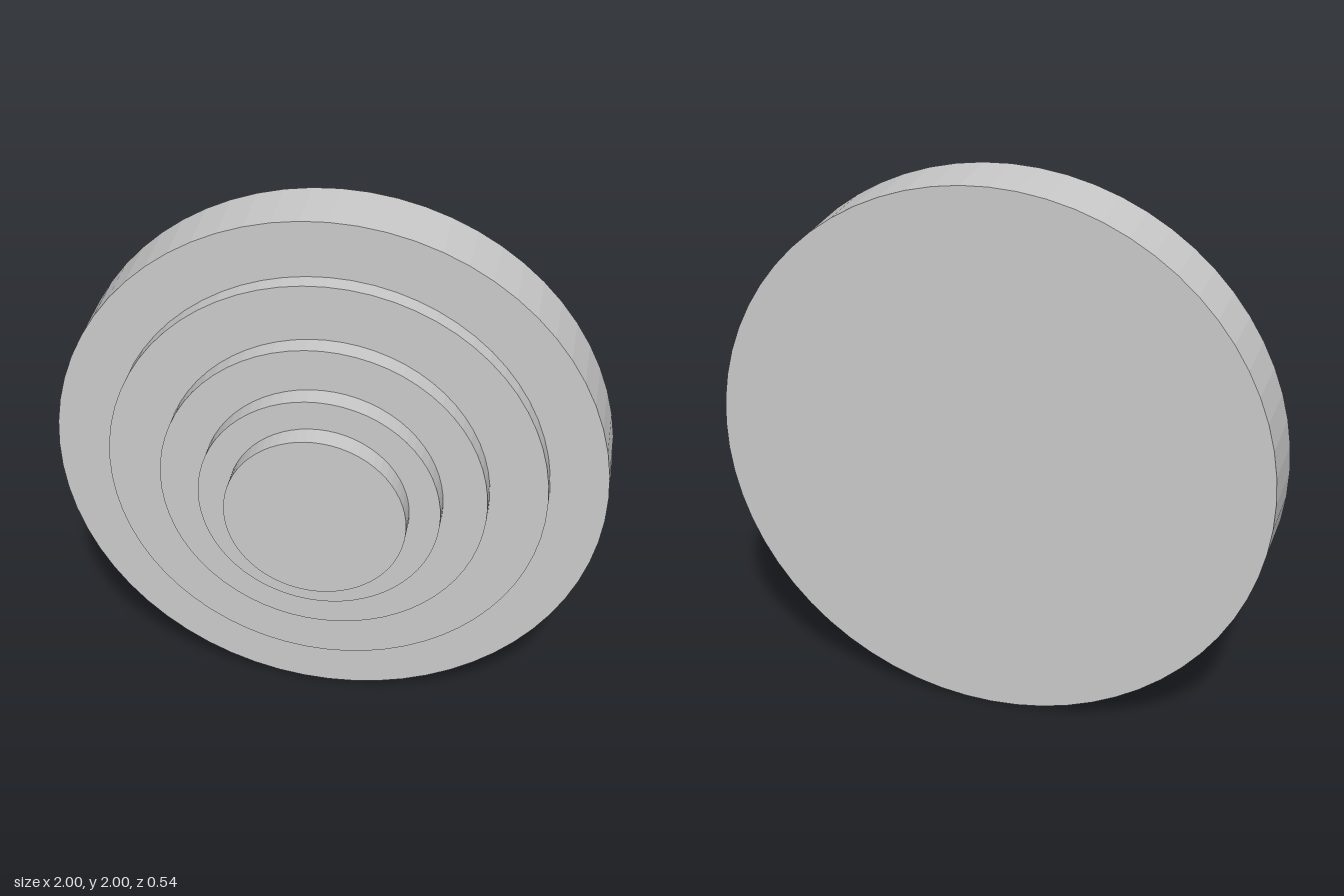
import * as THREE from 'three';

const SIDES = 64;
const BACK = -0.27;

// Each disc: name, radius, z of its front face
const DISCS = [
  ['baseDisc', 1.0, -0.025],
  ['firstStep', 0.793, 0.04],
  ['secondStep', 0.587, 0.113],
  ['thirdStep', 0.431, 0.19],
  ['frontDisc', 0.322, 0.27],
];

export function createModel() {
  const model = new THREE.Group();
  model.name = 'steppedDisc';
  const material = new THREE.MeshStandardMaterial({ color: 0xcccccc, flatShading: true });

  // Stack of round plates, each standing on the face of the one behind it
  let back = BACK;
  for (const [name, radius, front] of DISCS) {
    const geometry = new THREE.CylinderGeometry(radius, radius, front - back, SIDES);
    geometry.rotateX(Math.PI / 2);
    const disc = new THREE.Mesh(geometry, material);
    disc.name = name;
    disc.position.set(0, 1, (front + back) / 2);
    model.add(disc);
    back = front;
  }
  return model;
}
